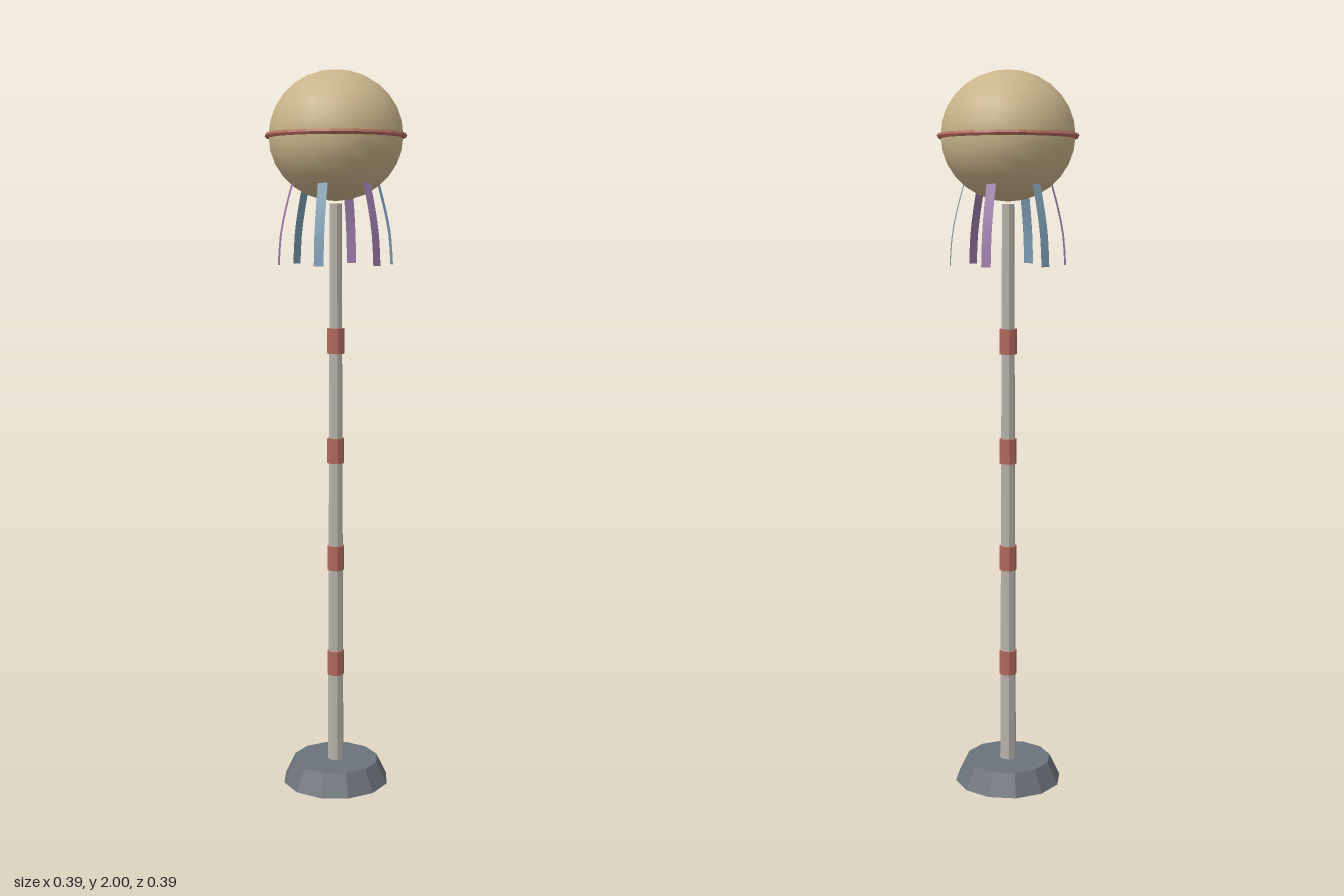
import * as THREE from 'three';

const flat = (name, color, extra = {}) => {
  const m = new THREE.MeshStandardMaterial({ color, ...extra });
  m.name = name;
  return m;
};

export function createModel() {
  const model = new THREE.Group();
  model.name = 'balloonOnPole';

  const tan = flat('tan', 0xc8b48a);
  const red = flat('red', 0xb0695c, { flatShading: true });
  const paleGrey = flat('paleGrey', 0xb8b2aa, { flatShading: true });
  const slate = flat('slate', 0x6c727a, { flatShading: true });
  const blue = flat('blue', 0x7d9fb5, { side: THREE.DoubleSide });
  const purple = flat('purple', 0x9b7bab, { side: THREE.DoubleSide });

  const add = (name, geometry, material, y = 0) => {
    const mesh = new THREE.Mesh(geometry, material);
    mesh.name = name;
    mesh.position.y = y;
    model.add(mesh);
    return mesh;
  };

  // Weighted foot and tapered pole
  add('base', new THREE.CylinderGeometry(0.122, 0.152, 0.062, 12), slate, 0.031);
  add('pole', new THREE.CylinderGeometry(0.017, 0.023, 1.585, 8), paleGrey, 0.8525);

  // Painted bands around the pole
  for (let i = 0; i < 4; i++) {
    add('poleBand', new THREE.CylinderGeometry(0.0245, 0.0245, 0.07, 8), red, 0.35 + i * 0.307);
  }

  // Slightly squashed balloon with a belt at its equator
  const ballY = 1.826;
  add('balloon', new THREE.SphereGeometry(0.183, 20, 14), tan, ballY).scale.y = 0.951;
  const belt = new THREE.TorusGeometry(0.186, 0.0075, 6, 20).rotateX(Math.PI / 2);
  add('belt', belt, red, ballY);

  // Hanging ribbons, bowed outwards, in alternating colours
  const path = new THREE.CatmullRomCurve3([
    new THREE.Vector3(0.12, 1.7, 0),
    new THREE.Vector3(0.139, 1.63, 0),
    new THREE.Vector3(0.153, 1.56, 0),
    new THREE.Vector3(0.159, 1.48, 0),
  ]);
  const steps = 6;
  const ribbon = new THREE.PlaneGeometry(0.027, 1, 1, steps);
  const p = ribbon.attributes.position;
  for (let i = 0; i < p.count; i++) {
    const c = path.getPoint(0.5 - p.getY(i));
    p.setXYZ(i, c.x, c.y, -p.getX(i));
  }
  ribbon.computeVertexNormals();
  for (let i = 0; i < 6; i++) {
    add('ribbon', ribbon, i % 2 ? purple : blue).rotation.y = -i * Math.PI / 3;
  }

  return model;
}
